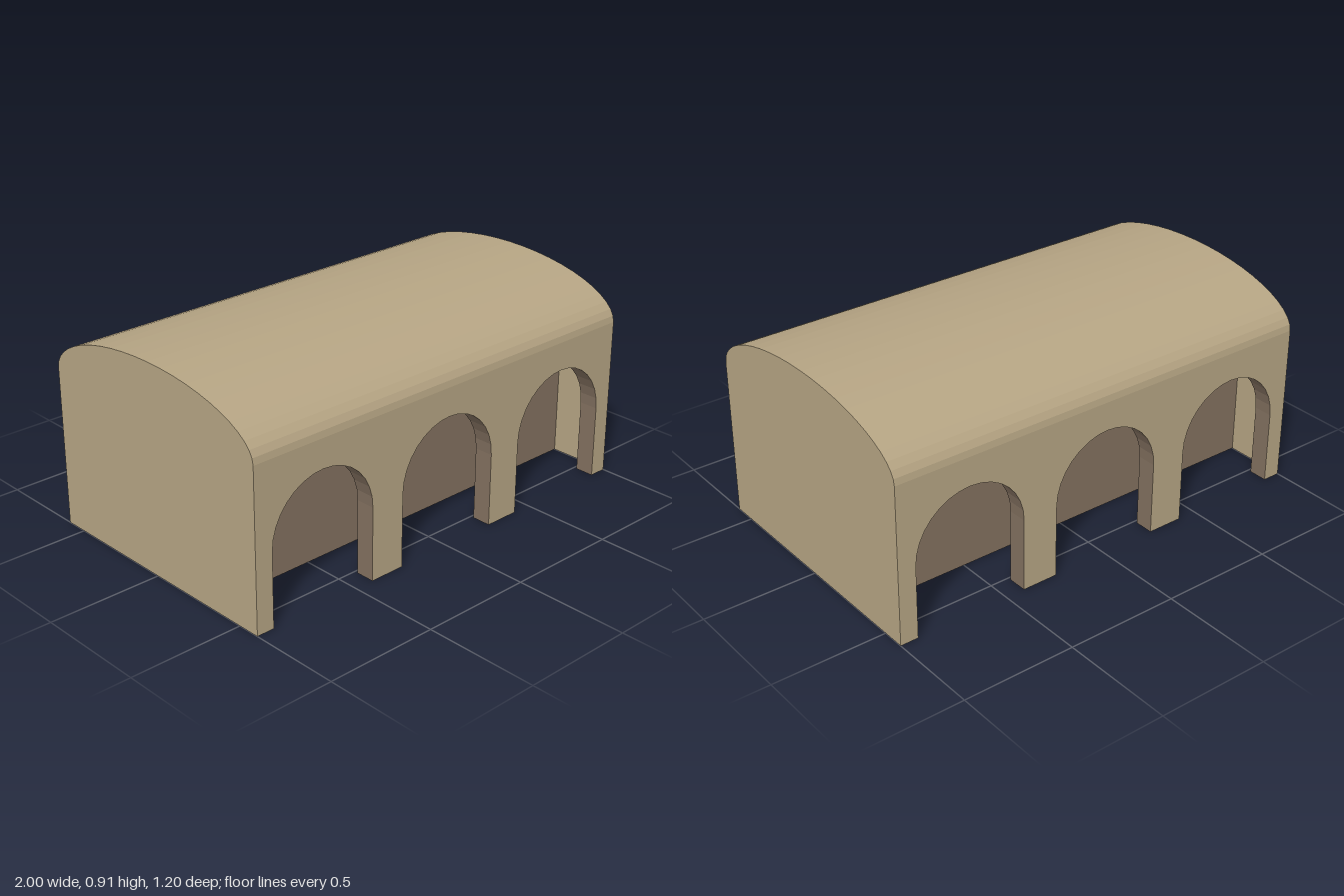
import * as THREE from 'three';

const HALF_X = 1, HALF_Z = 0.6, EAVES = 0.7, RISE = 0.21;
const ARCH_R = 0.253, ARCH_SPRING = 0.322, REVEAL = 0.085, ARCH_STEP = 0.667;
const CORE_Z = 0.32;

// Points of a half ellipse from +rx over the top to -rx
function halfEllipse(cx, cy, rx, ry, segments) {
  return Array.from({ length: segments + 1 }, (_, i) => {
    const a = (i / segments) * Math.PI;
    return new THREE.Vector2(cx + rx * Math.cos(a), cy + ry * Math.sin(a));
  });
}

// Open faceted sheet: a 2D profile swept along z from z0 to z1
function sweepSheet(profile, z0, z1) {
  const pos = [];
  for (let i = 0; i < profile.length - 1; i++) {
    const a = profile[i], b = profile[i + 1];
    pos.push(a.x, a.y, z0, a.x, a.y, z1, b.x, b.y, z1);
    pos.push(a.x, a.y, z0, b.x, b.y, z1, b.x, b.y, z0);
  }
  const geo = new THREE.BufferGeometry();
  geo.setAttribute('position', new THREE.Float32BufferAttribute(pos, 3));
  geo.computeVertexNormals();
  return geo;
}

// Arch outline from its right foot to its left foot
function archProfile(cx) {
  return [
    new THREE.Vector2(cx + ARCH_R, 0),
    ...halfEllipse(cx, ARCH_SPRING, ARCH_R, ARCH_R, 16),
    new THREE.Vector2(cx - ARCH_R, 0),
  ];
}

export function createModel() {
  const stone = new THREE.MeshStandardMaterial({ color: 0xb5a483, side: THREE.DoubleSide, flatShading: true });
  stone.name = 'sandstone';
  const shade = new THREE.MeshStandardMaterial({ color: 0x82705f, side: THREE.DoubleSide, flatShading: true });
  shade.name = 'brown recess';

  const model = new THREE.Group();
  model.name = 'vaultedArcade';
  const add = (name, geo, mat, parent = model) => {
    const mesh = new THREE.Mesh(geo, mat);
    mesh.name = name;
    parent.add(mesh);
    return mesh;
  };

  // Barrel roof, swept along x
  const vault = halfEllipse(0, EAVES, HALF_Z, RISE, 24);
  add('barrelRoof', sweepSheet(vault, -HALF_X, HALF_X), stone).rotation.y = Math.PI / 2;

  // Closed end walls following the vault
  const endShape = new THREE.Shape([
    new THREE.Vector2(-HALF_Z, 0), new THREE.Vector2(HALF_Z, 0), ...vault,
  ]);
  for (const side of [1, -1]) {
    const wall = add(side > 0 ? 'leftEndWall' : 'rightEndWall', new THREE.ShapeGeometry(endShape), stone);
    wall.position.x = side * HALF_X;
    wall.rotation.y = side * Math.PI / 2;
  }

  // Front and back arcades: wall sheet, arch reveals and recessed panel
  const centres = [ARCH_STEP, 0, -ARCH_STEP];
  const wallShape = new THREE.Shape([
    new THREE.Vector2(-HALF_X, 0), new THREE.Vector2(-HALF_X, EAVES),
    new THREE.Vector2(HALF_X, EAVES), new THREE.Vector2(HALF_X, 0),
    ...centres.flatMap(archProfile),
  ]);
  for (const name of ['front', 'back']) {
    const arcade = new THREE.Group();
    arcade.name = name + 'Arcade';
    if (name === 'back') arcade.rotation.y = Math.PI;
    model.add(arcade);

    add('archedWall', new THREE.ShapeGeometry(wallShape), stone, arcade).position.z = HALF_Z;
    for (const cx of centres) {
      add('archReveal', sweepSheet(archProfile(cx), HALF_Z, HALF_Z - REVEAL), shade, arcade);
    }
    const panel = add('recessPanel', new THREE.PlaneGeometry(2 * HALF_X, EAVES), shade, arcade);
    panel.position.set(0, EAVES / 2, CORE_Z);
  }
  return model;
}
